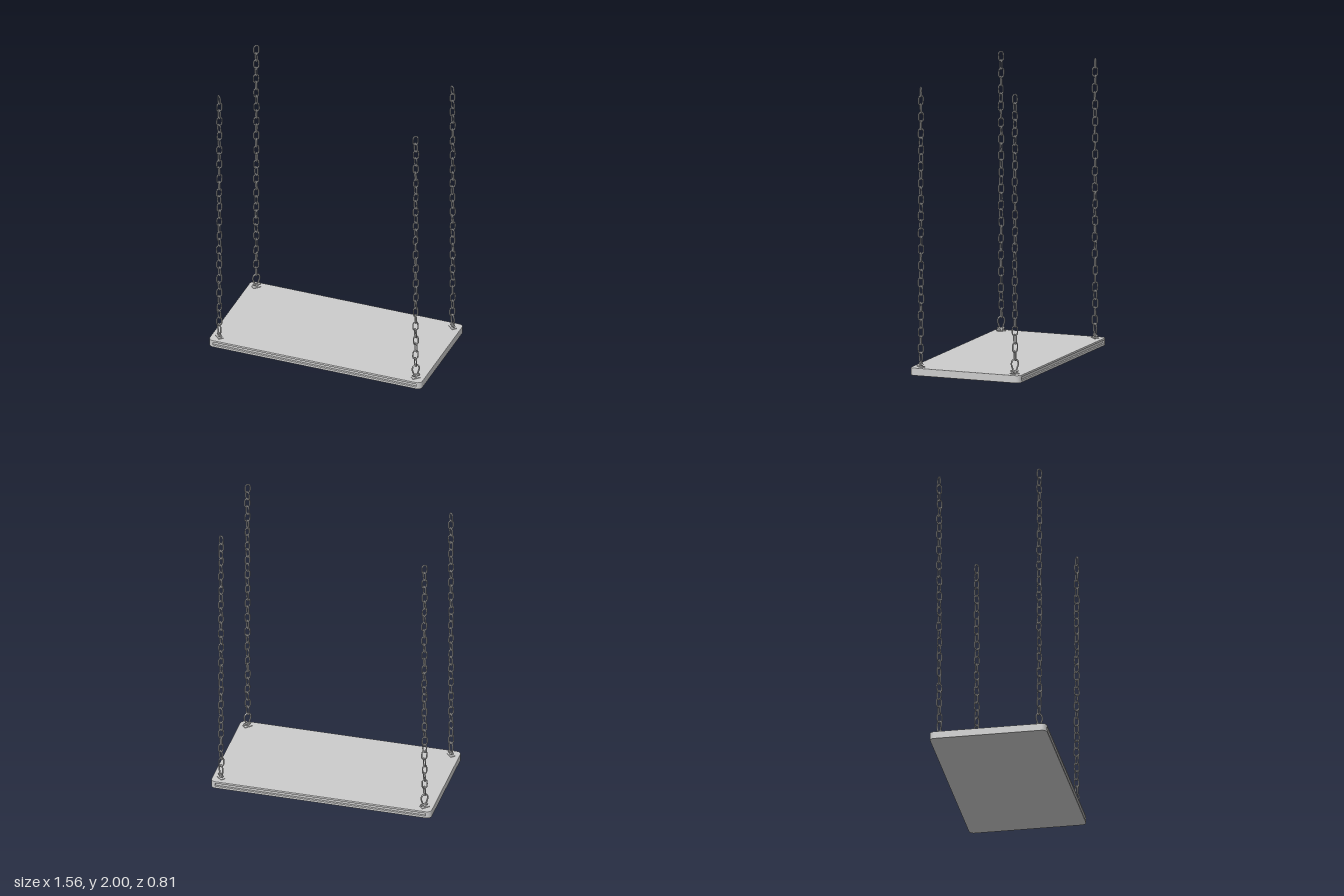
import * as THREE from 'three';

const grey = new THREE.MeshStandardMaterial({ color: 0xcccccc });

function mesh(geometry, name, parent) {
  const m = new THREE.Mesh(geometry, grey);
  m.name = name;
  parent.add(m);
  return m;
}

// Small seeded generator, returns -1..1
function seeded(seed) {
  let s = seed;
  return () => {
    s = (s * 16807) % 2147483647;
    return (s / 2147483647) * 2 - 1;
  };
}

// Plan outline of the board; a notch cuts the long edges for the grooves
function boardOutline(w, d, r, notch) {
  const s = new THREE.Shape();
  const g = 0.747;
  s.moveTo(-w + r, -d);
  if (notch) {
    s.lineTo(-g, -d); s.lineTo(-g, -d + notch); s.lineTo(g, -d + notch); s.lineTo(g, -d);
  }
  s.lineTo(w - r, -d);
  s.absarc(w - r, -d + r, r, -Math.PI / 2, 0, false);
  s.absarc(w - r, d - r, r, 0, Math.PI / 2, false);
  if (notch) {
    s.lineTo(g, d); s.lineTo(g, d - notch); s.lineTo(-g, d - notch); s.lineTo(-g, d);
  }
  s.absarc(-w + r, d - r, r, Math.PI / 2, Math.PI, false);
  s.absarc(-w + r, -d + r, r, Math.PI, Math.PI * 1.5, false);
  return s;
}

function layer(shape, y0, y1, bevel) {
  const geo = new THREE.ExtrudeGeometry(shape, {
    depth: y1 - y0 - 2 * bevel, curveSegments: 8, bevelEnabled: bevel > 0,
    bevelThickness: bevel, bevelSize: bevel, bevelOffset: -bevel, bevelSegments: 2,
  });
  geo.rotateX(-Math.PI / 2);
  geo.translate(0, y0 + bevel, 0);
  return geo;
}

// Closed stadium-shaped wire link, centred on its origin in the XY plane
function linkGeometry(height, width, wire) {
  const rx = width / 2 - wire;
  const straight = height / 2 - wire - rx;
  const pts = [];
  for (let i = 0; i < 16; i++) {
    const a = ((i + 0.5) / 16) * Math.PI * 2;
    pts.push(new THREE.Vector3(Math.cos(a) * rx, Math.sin(a) * rx + Math.sign(Math.sin(a)) * straight, 0));
  }
  return new THREE.TubeGeometry(new THREE.CatmullRomCurve3(pts, true), 32, wire, 7, true);
}

// Bow shackle with ears, cross pin and foot plate
function makeShackle() {
  const g = new THREE.Group();
  g.name = 'shackle';
  const half = [[0.014, 0.072], [0.016, 0.09], [0.024, 0.112], [0.025, 0.13], [0.017, 0.148]];
  const pts = [
    ...half.map(([x, y]) => new THREE.Vector3(x, y, 0)),
    new THREE.Vector3(0, 0.155, 0),
    ...half.slice().reverse().map(([x, y]) => new THREE.Vector3(-x, y, 0)),
  ];
  mesh(new THREE.TubeGeometry(new THREE.CatmullRomCurve3(pts), 36, 0.0055, 8), 'shackleBow', g);
  for (const side of [-1, 1]) {
    const ear = mesh(new THREE.CylinderGeometry(0.01, 0.01, 0.008, 14), 'shackleEar', g);
    ear.rotation.z = Math.PI / 2;
    ear.position.set(side * 0.014, 0.073, 0);
  }
  const pin = mesh(new THREE.CylinderGeometry(0.005, 0.005, 0.05, 10), 'shacklePin', g);
  pin.rotation.z = Math.PI / 2;
  pin.position.y = 0.073;
  const head = mesh(new THREE.CylinderGeometry(0.008, 0.008, 0.006, 6), 'pinHead', g);
  head.rotation.z = Math.PI / 2;
  head.position.set(0.026, 0.073, 0);
  mesh(new THREE.BoxGeometry(0.012, 0.028, 0.014), 'eyePost', g).position.y = 0.066;
  mesh(new THREE.BoxGeometry(0.056, 0.006, 0.034), 'footPlate', g).position.y = 0.055;
  return g;
}

export function createModel() {
  const model = new THREE.Group();
  model.name = 'hangingPlatform';

  // Board with a groove along the front and back edges
  const board = new THREE.Group();
  board.name = 'board';
  model.add(board);
  const W = 0.78, D = 0.407, R = 0.035;
  mesh(layer(boardOutline(W, D, R, 0), 0, 0.017, 0.003), 'boardBottom', board);
  mesh(layer(boardOutline(W, D, R, 0.014), 0.013, 0.042, 0), 'boardCore', board);
  mesh(layer(boardOutline(W, D, R, 0), 0.038, 0.053, 0.003), 'boardTop', board);

  // Four chains, each hung from a shackle set across its corner
  const link = linkGeometry(0.0755, 0.044, 0.0047);
  const count = 32, topY = 1.962, pitch = 0.0575;
  let seed = 11;
  for (const sx of [-1, 1]) for (const sz of [-1, 1]) {
    const rand = seeded((seed += 977));
    const corner = new THREE.Group();
    corner.name = 'cornerChain';
    corner.position.set(sx * 0.72, 0, sz * 0.347);
    corner.rotation.y = sx * sz * Math.PI / 4;
    model.add(corner);
    corner.add(makeShackle());
    for (let i = 0; i < count; i++) {
      const l = mesh(link, 'chainLink', corner);
      l.position.set(rand() * 0.002, topY - (count - 1 - i) * pitch, rand() * 0.002);
      // Neighbouring links sit at right angles, with a little slack
      l.rotation.set(rand() * 0.05, (i % 2 ? 0 : Math.PI / 2) + rand() * 0.25, rand() * 0.05, 'YXZ');
    }
  }
  return model;
}
